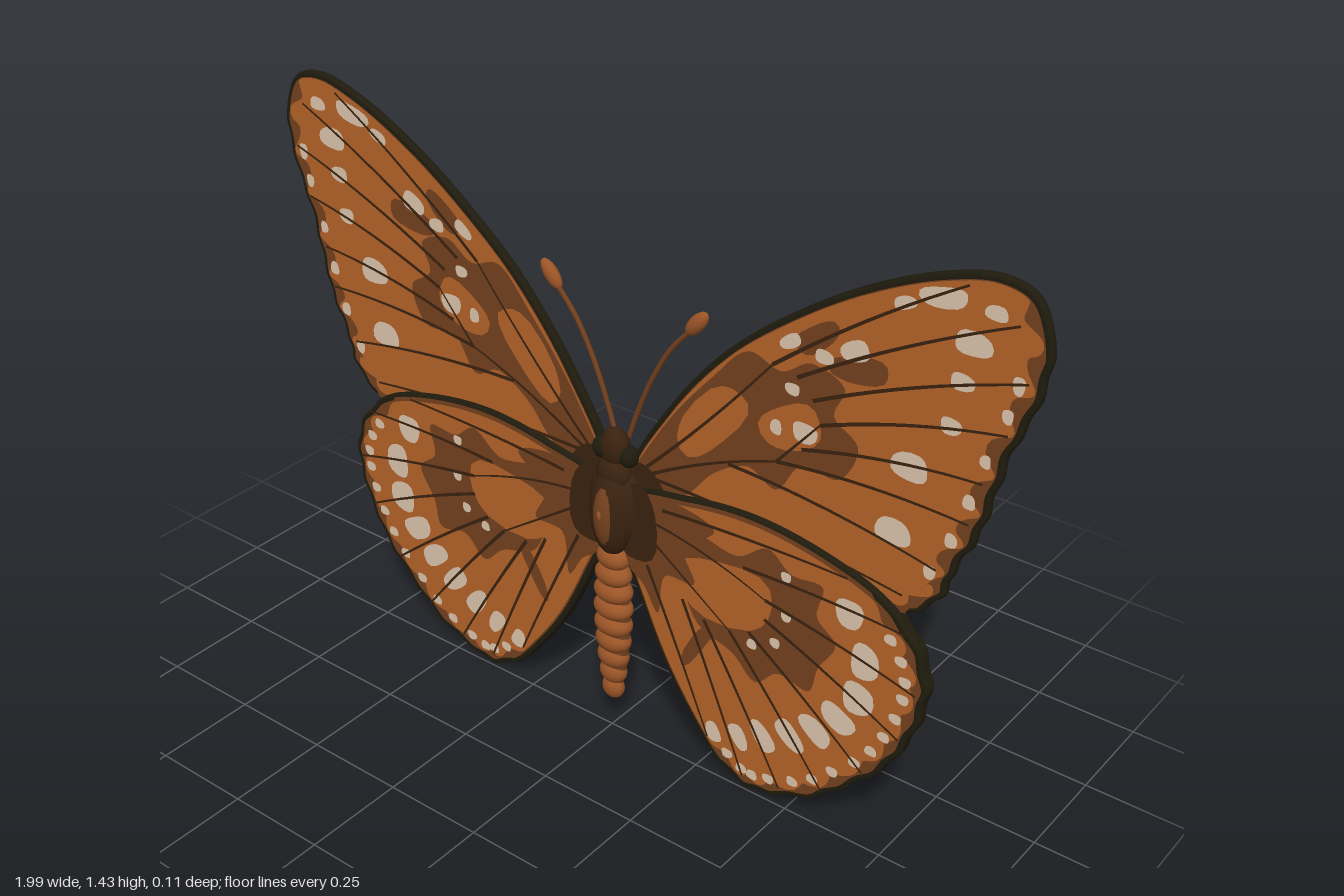
import * as THREE from 'three';
import { mergeGeometries } from 'three/addons/utils/BufferGeometryUtils.js';

const mat = (name, color) => Object.assign(new THREE.MeshStandardMaterial({ color }), { name });
const M = {
  orange: mat('orange', 0xb5642a), brown: mat('brown', 0x74411e), cream: mat('cream', 0xdcc6ae),
  edge: mat('edgeBlack', 0x1f1b0d), dark: mat('darkBrown', 0x3a220f), body: mat('bodyOrange', 0x9c5527),
};
const V = (x, y) => new THREE.Vector2(x, y);

// Closed smooth outline through a few points
const loop = (pts, n = 60) => new THREE.CatmullRomCurve3(
  pts.map(([x, y]) => new THREE.Vector3(x, y, 0)), true).getPoints(n).slice(0, n).map(p => V(p.x, p.y));

// Move an outline inwards by a distance that depends on the position along it
function inset(pts, dist) {
  const n = pts.length, sign = Math.sign(THREE.ShapeUtils.area(pts));
  return pts.map((p, i) => {
    const t = pts[(i + 1) % n].clone().sub(pts[(i + n - 1) % n]).normalize();
    return p.clone().add(V(-t.y, t.x).multiplyScalar(sign * dist(i / n)));
  });
}

// Slightly uneven, slightly squared oval spot
const soft = v => Math.sign(v) * Math.abs(v) ** 0.8;
const oval = (x, y, a, b, rot = 0) => Array.from({ length: 16 }, (_, i) => {
  const u = i / 16 * Math.PI * 2, k = 1 + 0.06 * Math.sin(3 * u + x * 40);
  return V(soft(Math.cos(u)) * a * k, soft(Math.sin(u)) * b * k).rotateAround(V(0, 0), rot).add(V(x, y));
});

// Tapered vein ribbon from a to b with a little sag
function vein([ax, ay], [bx, by], w = 0.0065, sag = 0.025) {
  const c = new THREE.QuadraticBezierCurve(V(ax, ay), V((ax + bx) / 2, (ay + by) / 2 + sag), V(bx, by));
  const l = [], r = [];
  for (let i = 0; i <= 10; i++) {
    const p = c.getPoint(i / 10), t = c.getTangent(i / 10), h = w * (0.7 - 0.3 * i / 10);
    l.push(V(p.x - t.y * h, p.y + t.x * h));
    r.unshift(V(p.x + t.y * h, p.y - t.x * h));
  }
  return [...l, ...r];
}

const shapeOf = (pts, s) => new THREE.Shape(pts.map(p => V(p.x * s, p.y)));

// One wing: dark slab, then flat painted faces on both sides
function wing(name, s, w) {
  const g = new THREE.Group();
  g.name = name;
  const add = (geo, m, n) => { const o = new THREE.Mesh(geo, m); o.name = n; g.add(o); };
  const bevel = 0.006;
  const slab = new THREE.ExtrudeGeometry(shapeOf(inset(w.outline, () => bevel), s), {
    depth: w.front - w.back - 2 * bevel, bevelSize: bevel, bevelThickness: bevel, bevelSegments: 2 });
  slab.translate(0, 0, w.back + bevel);
  add(slab, M.edge, 'wingSlab');
  w.layers.forEach(([n, m, shapes, frontOnly], k) => {
    const lift = 0.0008 * (k + 1);
    const geos = shapes.map(p => new THREE.ShapeGeometry(shapeOf(p, s)).translate(0, 0, w.front + lift));
    if (!frontOnly) shapes.forEach(p => geos.push(
      new THREE.ShapeGeometry(shapeOf(p, -s)).rotateY(Math.PI).translate(0, 0, w.back - lift)));
    add(mergeGeometries(geos), m, n);
  });
  return g;
}

// Inset depth: narrow rim, with scallops where t lies in the outer margin
const rim = (t0, t1, waves, thin, deep) => t => t < t0 || t > t1 ? thin
  : thin + deep * Math.sin((t - t0) / (t1 - t0) * Math.PI * waves) ** 2;

function forewing() {
  const base = loop([[0.03, 0.7], [0.13, 0.9], [0.28, 1.09], [0.44, 1.225], [0.6, 1.33], [0.76, 1.405],
    [0.88, 1.433], [0.955, 1.41], [0.997, 1.3], [0.98, 1.19], [0.94, 1.08], [0.915, 0.97], [0.89, 0.87],
    [0.85, 0.78], [0.83, 0.71], [0.76, 0.64], [0.55, 0.66], [0.3, 0.68], [0.08, 0.64]], 228);
  const outline = inset(base, rim(0.42, 0.78, 8, 0, 0.007));
  const brown = loop([[0.04, 0.68], [0.12, 0.85], [0.25, 1.02], [0.34, 1.11], [0.42, 1.09], [0.49, 1.13],
    [0.57, 1.1], [0.55, 1.03], [0.61, 0.98], [0.57, 0.89], [0.48, 0.89], [0.42, 0.81], [0.35, 0.84],
    [0.26, 0.79], [0.2, 0.72], [0.12, 0.66]], 96);
  const spots = [[0.77, 1.36, 0.052, 0.022, 0.2], [0.69, 1.325, 0.026, 0.014, 0.4], [0.84, 1.285, 0.04, 0.026],
    [0.88, 1.36, 0.024, 0.016], [0.825, 1.2, 0.026, 0.019], [0.81, 1.1, 0.023, 0.019], [0.73, 0.98, 0.042, 0.032],
    [0.705, 0.82, 0.042, 0.031], [0.59, 1.19, 0.034, 0.023, 0.4], [0.52, 1.155, 0.022, 0.016],
    [0.44, 1.165, 0.028, 0.015, 0.6], [0.485, 0.97, 0.03, 0.024], [0.415, 0.96, 0.014, 0.018],
    [0.45, 1.06, 0.018, 0.014], [0.94, 1.23, 0.013, 0.02], [0.925, 1.16, 0.012, 0.016], [0.89, 1.05, 0.012, 0.015],
    [0.865, 0.95, 0.014, 0.017], [0.835, 0.85, 0.014, 0.017], [0.795, 0.76, 0.014, 0.017]];
  const starts = [[0.4, 1.1], [0.46, 1.09], [0.5, 1.05], [0.52, 1], [0.48, 0.93], [0.42, 0.88], [0.3, 0.83], [0.1, 0.72]];
  const ends = [[0.82, 1.4], [0.93, 1.35], [0.96, 1.24], [0.93, 1.12], [0.89, 1], [0.87, 0.9], [0.81, 0.77], [0.74, 0.68]];
  return { outline, front: -0.022, back: -0.043, layers: [
    ['wingMargin', M.brown, [inset(outline, t => t > 0.79 ? 0 : 0.013)]],
    ['wingField', M.orange, [inset(outline, rim(0.36, 0.8, 9, 0.015, 0.03))]],
    ['brownPatches', M.brown, [brown, oval(0.6, 1.15, 0.07, 0.03, 0.2), oval(0.5, 1.19, 0.06, 0.026, 0.7),
      vein([0.1, 0.66], [0.62, 0.67], 0.035, 0.02)]],
    ['orangeCells', M.orange, [oval(0.25, 0.915, 0.12, 0.052, 0.88), oval(0.45, 0.97, 0.08, 0.05, 0.5)]],
    ['rootPatch', M.dark, [oval(0.075, 0.69, 0.05, 0.055, 0.6)]],
    ['creamSpots', M.cream, spots.map(a => oval(...a))],
    ['veins', M.dark, [...starts.map((a, i) => vein(a, ends[i])), vein([0.08, 0.74], [0.4, 1.1], 0.006, -0.02),
      vein([0.08, 0.72], [0.42, 0.88], 0.006), vein([0.42, 0.88], [0.52, 1], 0.005, 0)], true],
  ] };
}

function hindwing() {
  const base = loop([[0.04, 0.66], [0.2, 0.71], [0.38, 0.73], [0.57, 0.705], [0.71, 0.655], [0.79, 0.58],
    [0.823, 0.49], [0.815, 0.4], [0.78, 0.3], [0.73, 0.215], [0.65, 0.13], [0.57, 0.06], [0.465, 0.013],
    [0.385, 0], [0.305, 0.038], [0.225, 0.13], [0.145, 0.25], [0.075, 0.395], [0.035, 0.5]], 228);
  const outline = inset(base, rim(0.22, 0.74, 10, 0, 0.007));
  const ring = loop([[0.22, 0.63], [0.34, 0.62], [0.42, 0.67], [0.48, 0.63], [0.56, 0.63], [0.55, 0.55], [0.6, 0.5],
    [0.56, 0.42], [0.54, 0.35], [0.46, 0.36], [0.4, 0.31], [0.34, 0.36], [0.24, 0.4], [0.2, 0.5]], 84);
  const root = loop([[0.04, 0.66], [0.16, 0.69], [0.28, 0.66], [0.2, 0.58], [0.23, 0.5], [0.15, 0.49],
    [0.13, 0.38], [0.09, 0.44], [0.045, 0.48]], 54);
  const band = [[0.63, 0.595, 0.034, 0.036], [0.675, 0.49, 0.034, 0.046], [0.665, 0.39, 0.038, 0.042],
    [0.62, 0.315, 0.046, 0.031], [0.565, 0.255, 0.046, 0.028], [0.5, 0.21, 0.046, 0.026], [0.43, 0.172, 0.044, 0.024],
    [0.365, 0.14, 0.036, 0.021], [0.295, 0.12, 0.028, 0.02]]
    .map(([x, y, a, b], i) => oval(x, y, a, b, i < 3 ? 0 : Math.atan2(y - 0.6, x - 0.1)));
  const dots = inset(base, () => 0.05).filter((_, i) => i > 50 && i < 172 && i % 8 === 0)
    .map(p => oval(p.x, p.y, 0.015, 0.013));
  const small = [[0.47, 0.62], [0.475, 0.52], [0.39, 0.41], [0.45, 0.44]].map(([x, y]) => oval(x, y, 0.013, 0.013));
  const ends = [[0.62, 0.68], [0.76, 0.6], [0.8, 0.46], [0.77, 0.33], [0.69, 0.2], [0.59, 0.1], [0.48, 0.05], [0.38, 0.035], [0.28, 0.1]];
  const starts = [[0.14, 0.66], [0.36, 0.6], [0.42, 0.54], [0.42, 0.49], [0.38, 0.44], [0.33, 0.42], [0.26, 0.42], [0.2, 0.45], [0.1, 0.5]];
  return { outline, front: -0.006, back: -0.039, layers: [
    ['wingMargin', M.brown, [inset(outline, t => t < 0.2 ? 0.007 : 0.014)]],
    ['wingField', M.orange, [inset(outline, rim(0.2, 0.76, 11, 0.018, 0.025))]],
    ['brownRing', M.brown, [ring, oval(0.24, 0.34, 0.08, 0.018, 1.05)]],
    ['orangeCell', M.orange, [oval(0.31, 0.51, 0.13, 0.082, 0.15)]],
    ['brownRoot', M.brown, [root]],
    ['darkRoot', M.dark, [oval(0.07, 0.595, 0.055, 0.1)]],
    ['creamSpots', M.cream, [...band, ...dots, ...small]],
    ['veins', M.dark, [...starts.map((a, i) => vein(a, ends[i], 0.0065, 0.012)), vein([0.1, 0.62], [0.42, 0.54], 0.005),
      vein([0.1, 0.58], [0.33, 0.42], 0.005, 0)], true],
  ] };
}

export function createModel() {
  const model = new THREE.Group();
  model.name = 'butterfly';
  const add = (name, geo, m, x = 0, y = 0, z = 0) => {
    const o = new THREE.Mesh(geo, m);
    o.name = name;
    o.position.set(x, y, z);
    model.add(o);
    return o;
  };
  const ball = (name, m, x, y, z, a, b, c) =>
    add(name, new THREE.SphereGeometry(1, 24, 16), m, x, y, z).scale.set(a, b, c);

  // Wings, antennae, eyes and thorax lobes on both sides
  const fore = forewing(), hind = hindwing();
  for (const s of [1, -1]) {
    const side = s > 0 ? 'left' : 'right';
    model.add(wing(side + 'Forewing', s, fore), wing(side + 'Hindwing', s, hind));
    const path = new THREE.CatmullRomCurve3([[0.02, 0.79], [0.04, 0.85], [0.08, 0.95], [0.13, 1.04], [0.185, 1.105]]
      .map(([x, y]) => new THREE.Vector3(x * s, y, -0.035)));
    add(side + 'Antenna', new THREE.TubeGeometry(path, 20, 0.006, 8), M.brown);
    const club = add(side + 'AntennaClub', new THREE.SphereGeometry(1, 16, 12), M.body, 0.197 * s, 1.122, -0.035);
    club.scale.set(0.018, 0.039, 0.015);
    club.rotation.z = -0.7 * s;
    ball(side + 'Eye', M.edge, 0.037 * s, 0.755, -0.012, 0.024, 0.027, 0.022);
    ball(side + 'ThoraxLobe', M.dark, 0.035 * s, 0.62, -0.018, 0.035, 0.09, 0.035);
  }

  // Head, neck and thorax with a lighter stripe
  ball('head', M.dark, 0, 0.765, -0.012, 0.037, 0.05, 0.03);
  ball('neck', M.dark, 0, 0.7, -0.01, 0.045, 0.05, 0.035);
  ball('thorax', M.dark, 0, 0.605, 0, 0.056, 0.115, 0.044);
  ball('thoraxStripe', M.brown, 0, 0.605, -0.002, 0.04, 0.1, 0.053);
  ball('thoraxSpot', M.body, 0, 0.615, -0.002, 0.017, 0.035, 0.0555);

  // Abdomen: brown core with overlapping rings, fullest below the middle
  ball('abdomenCore', M.brown, 0, 0.3, -0.008, 0.043, 0.21, 0.028);
  for (let i = 0; i < 9; i++) {
    const r = 0.03 + 0.022 * Math.sin(Math.PI * (0.22 + 0.78 * i / 8));
    ball('abdomenRing' + (i + 1), M.body, 0, 0.48 - i * 0.046, -0.005, r, 0.032, r * 0.72);
  }
  return model;
}
